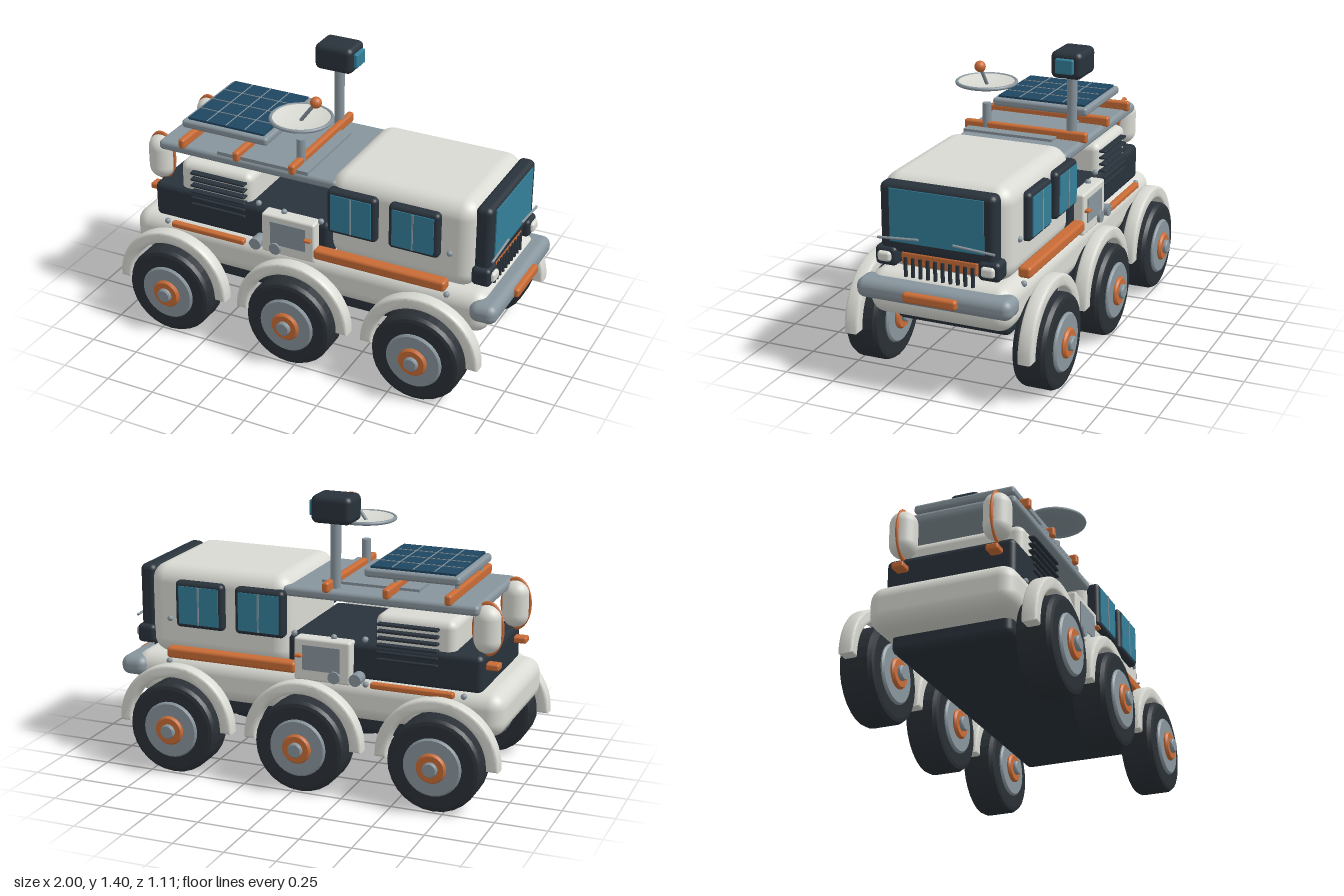
import * as THREE from 'three';
import { RoundedBoxGeometry } from 'three/addons/geometries/RoundedBoxGeometry.js';
import { toCreasedNormals } from 'three/addons/utils/BufferGeometryUtils.js';

const paint = (name, color) => Object.assign(new THREE.MeshStandardMaterial({ color }), { name });

export function createModel() {
  const white = paint('offWhite', 0xd9dad3);
  const dark = paint('charcoal', 0x29323b);
  const rubber = paint('tyreRubber', 0x2a3036);
  const gray = paint('metalGray', 0x88959d);
  const orange = paint('orange', 0xc96c36);
  const glass = paint('tealGlass', 0x337f99);
  const navy = paint('solarBlue', 0x1f4660);

  const rover = new THREE.Group();
  rover.name = 'rover';

  const add = (name, geo, mat, x = 0, y = 0, z = 0, parent = rover) => {
    const m = new THREE.Mesh(geo, mat);
    m.name = name;
    m.position.set(x, y, z);
    parent.add(m);
    return m;
  };
  // Box given by its bounds, rounded when r > 0
  const box = (name, mat, [x0, x1], [y0, y1], [z0, z1], r = 0) => {
    const s = [x1 - x0, y1 - y0, z1 - z0];
    const geo = r ? new RoundedBoxGeometry(...s, 4, r) : new THREE.BoxGeometry(...s);
    return add(name, geo, mat, (x0 + x1) / 2, (y0 + y1) / 2, (z0 + z1) / 2);
  };
  // Same box on the side s = 1 or -1, with z measured outwards
  const sideBox = (s, name, mat, xs, ys, [a, b], r) =>
    box(name, mat, xs, ys, s > 0 ? [a, b] : [-b, -a], r);
  const rod = (name, mat, a, b, r) => {
    const from = new THREE.Vector3(...a), dir = new THREE.Vector3(...b).sub(from);
    const m = add(name, new THREE.CylinderGeometry(r, r, dir.length(), 16), mat);
    m.position.copy(from).addScaledVector(dir, 0.5);
    m.quaternion.setFromUnitVectors(new THREE.Vector3(0, 1, 0), dir.normalize());
    return m;
  };

  // Lower hull, belly and cabin
  box('hull', white, [-0.98, 0.92], [0.335, 0.548], [-0.355, 0.355], 0.075);
  box('belly', dark, [-0.85, 0.76], [0.258, 0.38], [-0.29, 0.29], 0.035);
  box('cabin', white, [0.09, 0.84], [0.54, 0.993], [-0.32, 0.32], 0.085);

  // Engine bay behind the cabin
  box('engineBlock', dark, [-0.87, 0.1], [0.53, 0.717], [-0.315, 0.315], 0.03);
  box('engineCover', white, [-0.73, -0.335], [0.6, 0.86], [-0.295, 0.295], 0.04);

  // Windscreen
  box('windscreenFrame', dark, [0.82, 0.903], [0.65, 0.978], [-0.285, 0.285], 0.03);
  box('windscreen', glass, [0.9, 0.908], [0.705, 0.955], [-0.232, 0.232]);

  // Grille
  box('grilleBar', orange, [0.82, 0.885], [0.59, 0.655], [-0.19, 0.19], 0.012);
  for (let i = 0; i < 10; i++)
    rod('grilleSlat', dark, [0.885, 0.535, (i - 4.5) * 0.037], [0.885, 0.628, (i - 4.5) * 0.037], 0.009);

  // Front bumper
  box('bumper', gray, [0.84, 0.977], [0.428, 0.525], [-0.385, 0.385], 0.042);
  box('bumperPlate', orange, [0.96, 1], [0.455, 0.502], [-0.133, 0.133], 0.014);

  // Roof deck with crossbars
  box('roofDeck', gray, [-0.84, 0.13], [0.9, 0.95], [-0.305, 0.305], 0.02);
  box('deckPlate', gray, [-0.51, -0.02], [0.945, 0.963], [-0.17, 0.3]);
  for (const x of [-0.698, -0.398, -0.097])
    box('crossbar', orange, [x - 0.017, x + 0.017], [0.942, 0.993], [-0.325, 0.325], 0.012);

  // Solar panel
  box('solarFrame', gray, [-0.733, -0.263], [1.02, 1.062], [-0.254, 0.254], 0.015);
  box('solarCells', navy, [-0.706, -0.29], [1.055, 1.072], [-0.232, 0.232]);
  for (let i = -1; i <= 1; i++) {
    box('cellLine', gray, [-0.5 + i * 0.104, -0.496 + i * 0.104], [1.07, 1.075], [-0.23, 0.23]);
    box('cellLine', gray, [-0.704, -0.292], [1.07, 1.075], [i * 0.116 - 0.002, i * 0.116 + 0.002]);
  }
  for (const x of [-0.698, -0.398]) for (const z of [-0.18, 0.18])
    rod('solarPost', gray, [x, 0.98, z], [x, 1.03, z], 0.012);

  // Camera mast
  rod('mast', gray, [-0.117, 0.94, -0.235], [-0.117, 1.29, -0.235], 0.025);
  box('cameraHead', dark, [-0.22, -0.018], [1.268, 1.402], [-0.316, -0.157], 0.03);
  box('cameraLens', glass, [-0.025, 0], [1.298, 1.372], [-0.282, -0.19], 0.008);

  // Dish antenna
  rod('dishPedestal', gray, [-0.1, 0.94, 0.21], [-0.1, 1.085, 0.21], 0.022);
  const dishCurve = (y) => [[0, 0], [0.06, 0.003], [0.11, 0.01], [0.148, 0.02]]
    .map(([r, h]) => new THREE.Vector2(r, h + y));
  add('dishBack', new THREE.LatheGeometry(dishCurve(0), 40), gray, -0.097, 1.172, 0.208);
  add('dishBowl', new THREE.LatheGeometry(dishCurve(0.008).reverse(), 40), white, -0.097, 1.172, 0.208);
  add('dishRim', new THREE.TorusGeometry(0.146, 0.009, 10, 40), gray, -0.097, 1.193, 0.208)
    .rotation.x = Math.PI / 2;
  rod('feedArm', gray, [-0.1, 1.18, 0.208], [-0.02, 1.288, 0.208], 0.009);
  add('feedBall', new THREE.SphereGeometry(0.028, 20, 14), orange, -0.02, 1.288, 0.208);

  // Wheel: stepped discs, the same on both faces
  const lathe = (pts, n, crease) => {
    const half = pts.map(([r, h]) => new THREE.Vector2(r, h));
    const low = half.map((p) => new THREE.Vector2(p.x, -p.y)).reverse();
    return toCreasedNormals(new THREE.LatheGeometry([...low, ...half], n), crease).rotateX(Math.PI / 2);
  };
  const wheelParts = [
    ['tyre', lathe([[0.227, 0.06], [0.217, 0.079], [0.2, 0.084], [0, 0.084]], 28, 0.2), rubber],
    ['rim', lathe([[0.14, 0.09], [0.132, 0.098], [0, 0.098]], 36, 0.5), gray],
    ['hubRing', lathe([[0.072, 0.106], [0.064, 0.115], [0, 0.115]], 28, 0.5), orange],
    ['hubCap', lathe([[0.036, 0.128], [0.03, 0.134], [0, 0.134]], 20, 0.5), gray],
  ];

  // Fender: half ring with a soft edge
  const arch = new THREE.Shape();
  arch.absarc(0, 0, 0.288, 0, Math.PI, false);
  arch.absarc(0, 0, 0.252, Math.PI, 0, true);
  const fenderGeo = toCreasedNormals(new THREE.ExtrudeGeometry(arch, {
    depth: 0.046, bevelSize: 0.012, bevelThickness: 0.012, bevelSegments: 3, curveSegments: 28,
  }).translate(0, 0, -0.023), 0.6);

  for (const s of [1, -1]) {
    for (const x of [-0.7, -0.034, 0.635]) {
      const wheel = new THREE.Group();
      wheel.name = 'wheel';
      wheel.position.set(x, 0.228, s * 0.422);
      for (const [name, geo, mat] of wheelParts) add(name, geo, mat, 0, 0, 0, wheel);
      rover.add(wheel);
      add('fender', fenderGeo, white, x, 0.237, s * 0.434);
    }

    // Side windows with centre bars
    for (const x of [0.232, 0.548]) {
      sideBox(s, 'windowFrame', dark, [x - 0.128, x + 0.128], [0.7, 0.932], [0.29, 0.355], 0.022);
      sideBox(s, 'sideWindow', glass, [x - 0.105, x + 0.105], [0.722, 0.91], [0.352, 0.36]);
      sideBox(s, 'windowBar', gray, [x - 0.004, x + 0.004], [0.722, 0.91], [0.357, 0.364]);
    }

    // Headlight and wiper
    sideBox(s, 'headlightHousing', dark, [0.82, 0.915], [0.583, 0.676], [0.2, 0.308], 0.022);
    sideBox(s, 'headlight', white, [0.89, 0.932], [0.607, 0.656], [0.222, 0.288], 0.015);
    rod('wiper', gray, [0.917, 0.718, s * 0.288], [0.917, 0.732, s * 0.086], 0.006);

    // Side rails
    sideBox(s, 'sideRail', orange, [0.04, 0.72], [0.543, 0.597], [0.31, 0.373], 0.015);
    sideBox(s, 'rearRail', orange, [-0.75, -0.34], [0.515, 0.545], [0.335, 0.37], 0.01);

    // Access hatch with handle and ports
    sideBox(s, 'hatch', white, [-0.24, 0.045], [0.515, 0.725], [0.29, 0.366], 0.012);
    sideBox(s, 'hatchPanel', gray, [-0.19, 0], [0.57, 0.692], [0.363, 0.371]);
    sideBox(s, 'hatchHandle', orange, [-0.003, 0.035], [0.633, 0.647], [0.36, 0.39], 0.005);
    for (const x of [-0.27, -0.163])
      rod('port', gray, [x, 0.55, s * 0.3], [x, 0.55, s * 0.382], 0.03);

    // Engine louvres
    for (let i = 0; i < 6; i++)
      sideBox(s, 'louvre', dark, [-0.655, -0.355], [0.643 + i * 0.034, 0.656 + i * 0.034], [0.28, 0.326], 0.005);

    // Bolts
    for (const [x, y, z] of [[0.72, 0.73, 0.32], [0.06, 0.73, 0.32], [-0.14, 0.73, 0.315], [-0.29, 0.73, 0.295],
      [-0.79, 0.525, 0.335], [-0.31, 0.525, 0.34], [0.72, 0.52, 0.342]])
      add('bolt', new THREE.SphereGeometry(0.015, 12, 8), gray, x, y, s * z);

    // Rear tank inside its guard ring, and tail lamp
    add('rearTank', new THREE.CapsuleGeometry(0.066, 0.1, 8, 24), white, -0.866, 0.83, s * 0.232);
    add('tankGuard', new THREE.TorusGeometry(0.07, 0.008, 10, 40), orange, -0.866, 0.83, s * 0.232)
      .scale.set(1, 1.7, 1);
    sideBox(s, 'tailLamp', orange, [-0.93, -0.86], [0.638, 0.67], [0.2, 0.26], 0.01);
  }
  return rover;
}
